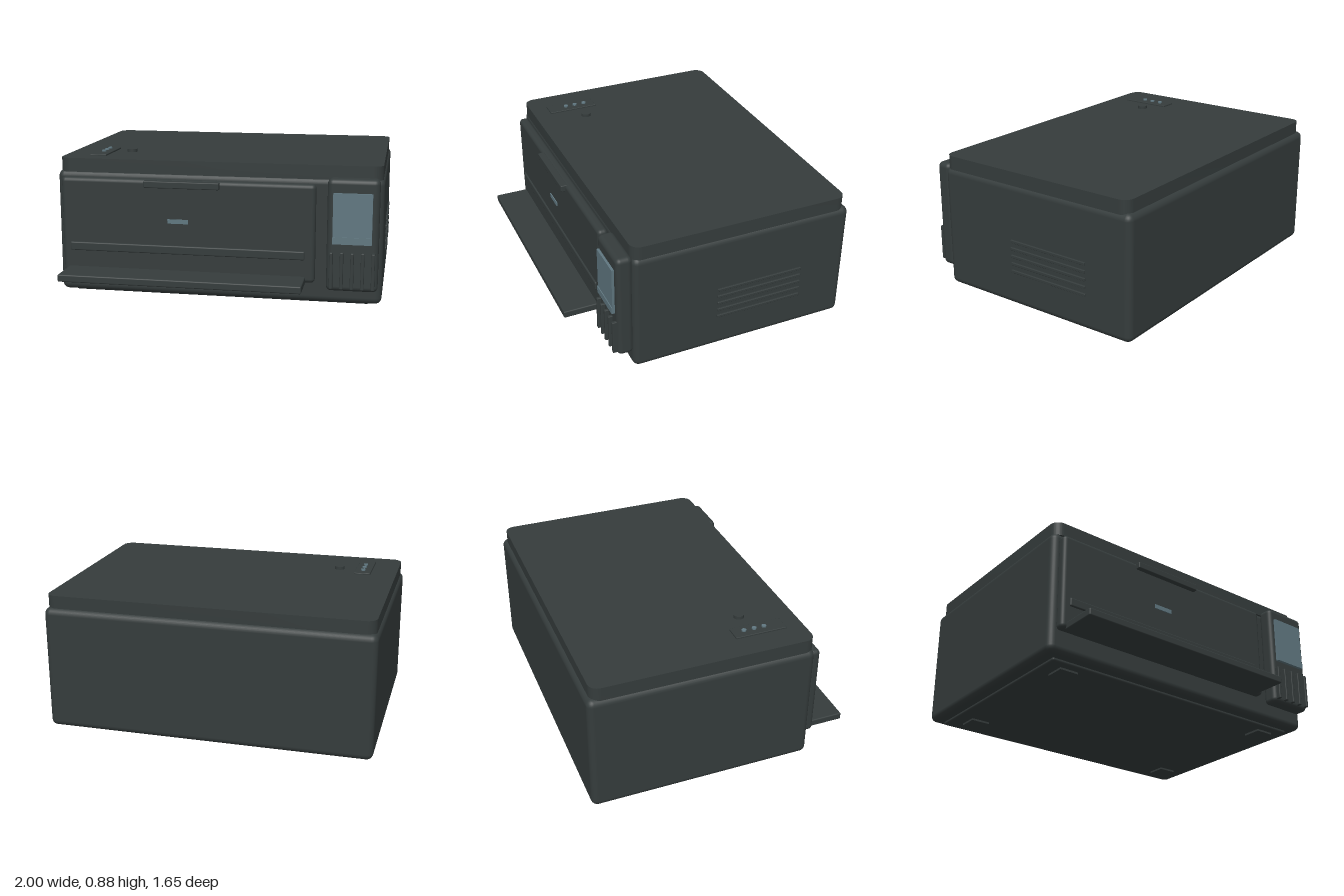
import * as THREE from 'three';
import { RoundedBoxGeometry } from 'three/addons/geometries/RoundedBoxGeometry.js';
import { toCreasedNormals } from 'three/addons/utils/BufferGeometryUtils.js';

const mat = (name, color) => {
  const m = new THREE.MeshStandardMaterial({ color });
  m.name = name;
  return m;
};

export function createModel() {
  const printer = new THREE.Group();
  printer.name = 'printer';
  const shell = mat('charcoal plastic', 0x353c3c);
  const glass = mat('blue grey window', 0x607780);

  const add = (name, geometry, material, parent = printer) => {
    const mesh = new THREE.Mesh(geometry, material);
    mesh.name = name;
    parent.add(mesh);
    return mesh;
  };
  // Box given by its limits on each axis, with an optional edge radius
  const box = (name, [x0, x1], [y0, y1], [z0, z1], r = 0, material = shell, parent = printer) => {
    const size = [x1 - x0, y1 - y0, z1 - z0];
    const g = r ? new RoundedBoxGeometry(...size, 3, r) : new THREE.BoxGeometry(...size);
    g.translate((x0 + x1) / 2, (y0 + y1) / 2, (z0 + z1) / 2);
    return add(name, g, material, parent);
  };
  const disc = (name, x, z, y0, y1, r, material) =>
    add(name, new THREE.CylinderGeometry(r, r, y1 - y0, 24).translate(x, (y0 + y1) / 2, z), material);

  // Main housing with its plinth and feet
  box('body', [-1, 0.99], [0.03, 0.79], [-0.83, 0.55], 0.04);
  box('plinth', [-0.925, 0.915], [0.012, 0.05], [-0.77, 0.48], 0.012);
  for (const x of [-0.78, 0.77])
    for (const z of [0.37, -0.61])
      box('foot', [x - 0.06, x + 0.06], [0, 0.02], [z - 0.06, z + 0.06]);

  // Scanner lid: rounded plan, square top edge
  const [x0, x1, z0, z1, r] = [-0.985, 0.98, -0.805, 0.55, 0.06];
  const plan = new THREE.Shape();
  plan.absarc(x1 - r, -z0 - r, r, 0, Math.PI / 2);
  plan.absarc(x0 + r, -z0 - r, r, Math.PI / 2, Math.PI);
  plan.absarc(x0 + r, -z1 + r, r, Math.PI, Math.PI * 1.5);
  plan.absarc(x1 - r, -z1 + r, r, Math.PI * 1.5, Math.PI * 2);
  const lid = new THREE.ExtrudeGeometry(plan, { depth: 0.085, bevelEnabled: false, curveSegments: 8 });
  lid.rotateX(-Math.PI / 2).translate(0, 0.78, 0);
  add('lid', toCreasedNormals(lid, 0.6), shell);

  // Front door with handle, ridge and badge
  box('frontDoor', [-0.96, 0.595], [0.16, 0.755], [0.54, 0.605], 0.025);
  box('doorHandle', [-0.435, 0.025], [0.71, 0.752], [0.59, 0.635], 0.006);
  box('doorRidge', [-0.91, 0.535], [0.302, 0.355], [0.59, 0.615], 0.008);
  box('badge', [-0.295, -0.168], [0.492, 0.518], [0.604, 0.611], 0, glass);

  // Paper tray
  box('paperTray', [-0.925, 0.54], [0.155, 0.2], [0.59, 0.82], 0.008);

  // Ink tank with window and ribs
  box('inkTank', [0.665, 0.967], [0.13, 0.8], [0.54, 0.64], 0.03);
  box('tankWindow', [0.7, 0.928], [0.46, 0.72], [0.63, 0.655], 0, glass);
  box('windowSill', [0.7, 0.928], [0.42, 0.462], [0.63, 0.66], 0, glass);
  for (let i = 0; i < 5; i++) {
    const x = 0.695 + i * 0.061;
    box('tankRib', [x - 0.01, x + 0.01], [0.15, 0.37], [0.63, 0.665], 0.005);
  }

  // Control strip, indicator lights and power button
  box('controlStrip', [-0.825, -0.722], [0.86, 0.875], [0.12, 0.44], 0.004);
  for (const z of [0.19, 0.255, 0.318])
    disc('indicator', -0.773, z, 0.87, 0.884, 0.014, glass);
  disc('powerButton', -0.614, 0.23, 0.864, 0.884, 0.031, shell);

  // Side vents
  for (let i = 0; i < 5; i++) {
    const y = 0.25 + i * 0.0475;
    box('vent', [0.98, 1], [y - 0.009, y + 0.009], [-0.525, 0.025], 0.003);
  }
  return printer;
}
